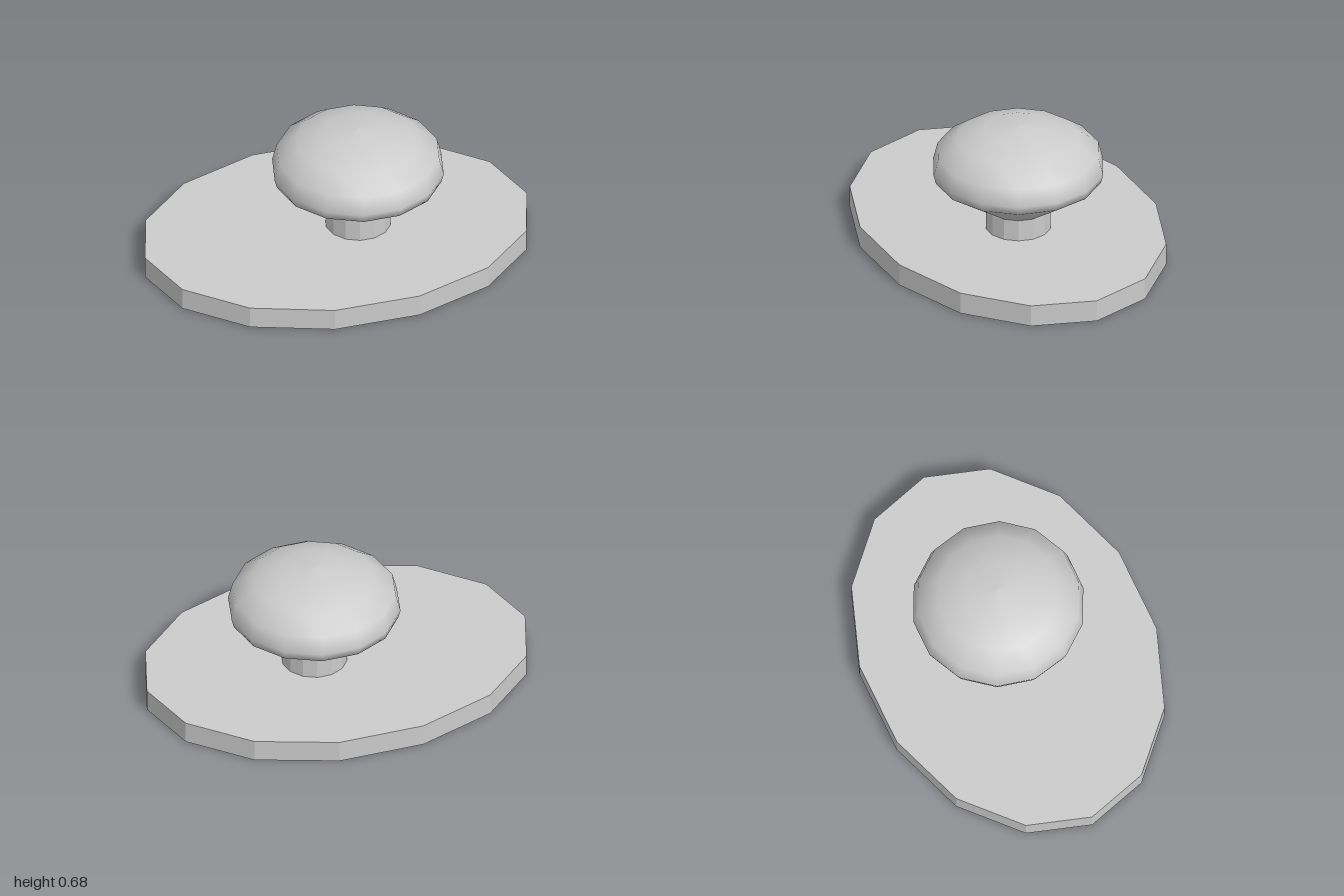
import * as THREE from 'three';

const SIDES = 14;
const KNOB_X = 0.115;
const PLATE_TOP = 0.115;
const PLATE_DEPTH = 0.737;
const STEM_TOP = 0.23;
const STEM_R = 0.166;

// Corners of a 14-sided oval, starting on the +x axis
function oval(cx, rx, ry) {
  return Array.from({ length: SIDES }, (_, i) => {
    const a = (i / SIDES) * Math.PI * 2;
    return new THREE.Vector2(cx + rx * Math.cos(a), ry * Math.sin(a));
  });
}

// Open 14-sided wall between two heights
function wall(radius, bottom, top) {
  const geometry = new THREE.CylinderGeometry(radius, radius, top - bottom, SIDES, 1, true, Math.PI / 2);
  return geometry.translate(0, (bottom + top) / 2, 0);
}

export function createModel() {
  const group = new THREE.Group();
  group.name = 'doorKnob';

  const flat = new THREE.MeshStandardMaterial({ color: 0xcccccc, flatShading: true, side: THREE.DoubleSide });
  const smooth = new THREE.MeshStandardMaterial({ color: 0xcccccc, side: THREE.DoubleSide });

  const add = (name, geometry, material) => {
    const mesh = new THREE.Mesh(geometry, material);
    mesh.name = name;
    group.add(mesh);
    return mesh;
  };

  // Oval plate: a shell open underneath, its top pierced below the stem
  const outline = new THREE.Shape(oval(0, 1, PLATE_DEPTH));
  outline.holes.push(new THREE.Path(oval(KNOB_X, STEM_R, STEM_R).reverse()));
  const plateTop = new THREE.ShapeGeometry(outline).rotateX(-Math.PI / 2);
  add('plateTop', plateTop, flat).position.y = PLATE_TOP;
  add('plateRim', wall(1, 0, PLATE_TOP).scale(1, 1, PLATE_DEPTH), flat);

  // Hollow stem
  add('stem', wall(STEM_R, PLATE_TOP, STEM_TOP), flat).position.x = KNOB_X;

  // Knob: flared underside and a low dome, open where it meets the stem
  const profile = [
    [STEM_R, STEM_TOP], [0.424, 0.405], [0.436, 0.45], [0.413, 0.54],
    [0.31, 0.615], [0.17, 0.665], [0, 0.68],
  ].map(([r, y]) => new THREE.Vector2(r, y));
  const knob = new THREE.LatheGeometry(profile, SIDES, Math.PI / 2);
  add('knob', knob, smooth).position.x = KNOB_X;

  return group;
}
